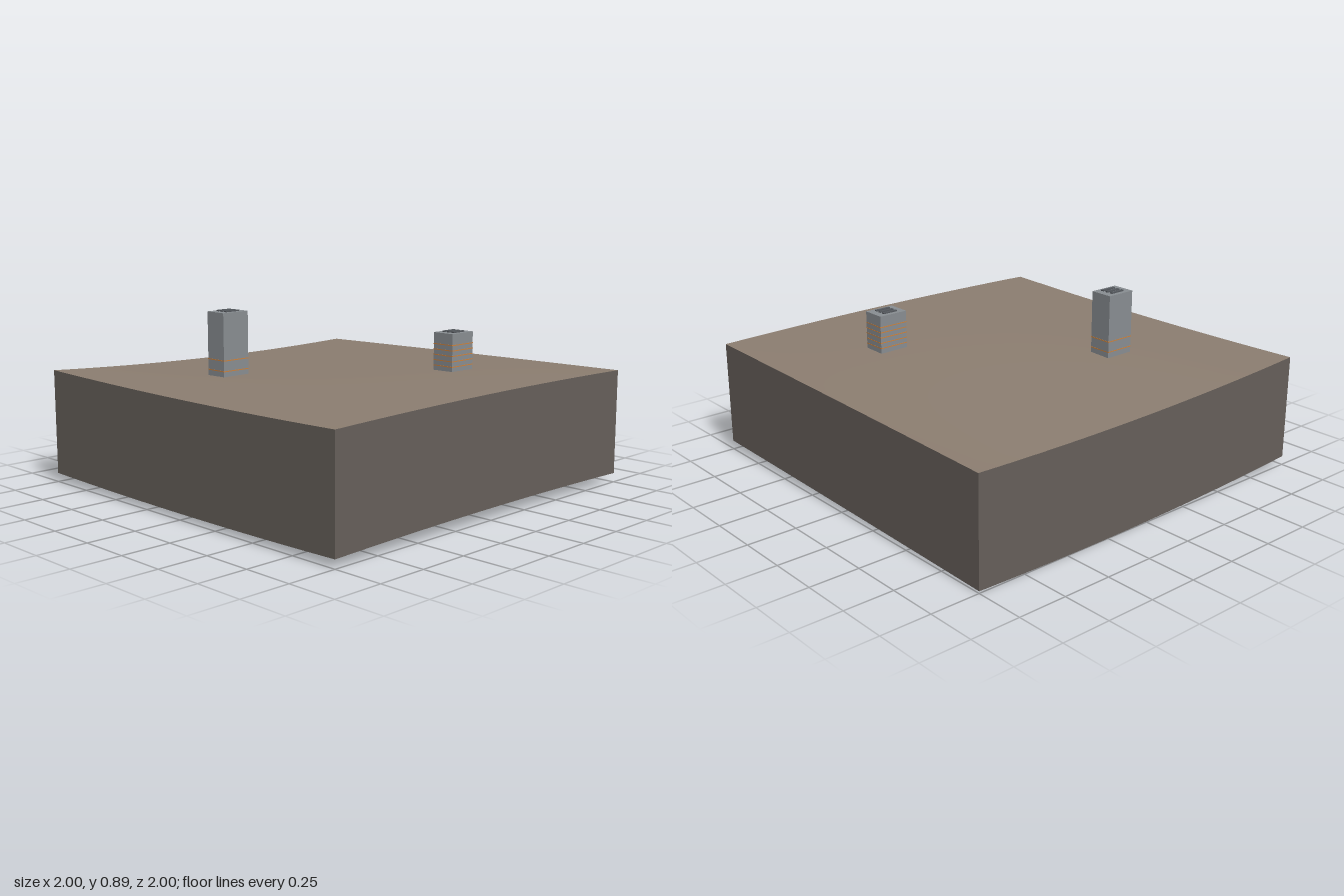
import * as THREE from 'three';

const mat = (name, color, side = THREE.FrontSide) => {
  const m = new THREE.MeshStandardMaterial({ color, side });
  m.name = name;
  return m;
};

// Ground heights on a 3 x 3 net: rows z = -1, 0, 1, columns x = -1, 0, 1
const NET = [
  [0.54, 0.56, 0.576],
  [0.533, 0.573, 0.587],
  [0.575, 0.56, 0.571],
];
const DEPTH = 0.53;
const quad = (a, b, c, t) => b + t * (c - a) / 2 + t * t * ((a + c) / 2 - b);
const ground = (x, z) => quad(...NET.map(([a, b, c]) => quad(a, b, c, x)), z);

export function createModel() {
  const model = new THREE.Group();
  const soil = mat('ground brown', 0x8b7d70, THREE.DoubleSide);
  const earth = mat('earth side', 0x665f5a, THREE.DoubleSide);
  const concrete = mat('concrete grey', 0x888d91);
  const dark = mat('vent dark grey', 0x55595e);
  const orange = mat('band orange', 0xc8813f);

  const add = (parent, name, geometry, material, x = 0, y = 0, z = 0) => {
    const mesh = new THREE.Mesh(geometry, material);
    mesh.name = name;
    mesh.position.set(x, y, z);
    parent.add(mesh);
    return mesh;
  };

  // Gently rolling ground sheet
  const top = new THREE.PlaneGeometry(2, 2, 24, 24).rotateX(-Math.PI / 2);
  const p = top.attributes.position;
  for (let i = 0; i < p.count; i++) p.setY(i, ground(p.getX(i), p.getZ(i)));
  top.computeVertexNormals();
  add(model, 'ground', top, soil);

  // Four cut sides that follow the ground edge, open underneath
  for (let side = 0; side < 4; side++) {
    const wall = new THREE.PlaneGeometry(2, 1, 24, 1).translate(0, 0, 1).rotateY(side * Math.PI / 2);
    const w = wall.attributes.position;
    for (let i = 0; i < w.count; i++) {
      const h = ground(w.getX(i), w.getZ(i));
      w.setY(i, w.getY(i) > 0 ? h : h - DEPTH);
    }
    add(model, 'earthSide', wall, earth);
  }

  // Block towers with thin bands and three roof vents
  const W = 0.12, D = 0.157;
  const tower = (name, x, z, base, roof, bands) => {
    const g = new THREE.Group();
    g.name = name;
    g.position.set(x, 0, z);
    add(g, 'towerBody', new THREE.BoxGeometry(W, roof - base, D), concrete, 0, (roof + base) / 2, 0);
    for (const y of bands)
      add(g, 'band', new THREE.BoxGeometry(W + 0.002, 0.005, D + 0.002), orange, 0, y, 0);
    for (const vx of [-0.03, 0, 0.03])
      add(g, 'roofVent', new THREE.BoxGeometry(0.015, 0.012, 0.082), dark, vx, roof, 0);
    model.add(g);
  };
  tower('tallTower', -0.337, 0.417, 0.555, 0.88, [0.592, 0.645]);
  tower('shortTower', 0.413, -0.417, 0.57, 0.77, [0.605, 0.632, 0.659, 0.686, 0.713]);

  // Small slab below the ground sheet
  add(model, 'buriedSlab', new THREE.BoxGeometry(W, 0.025, D), concrete, 0, 0.31, 0);

  return model;
}
